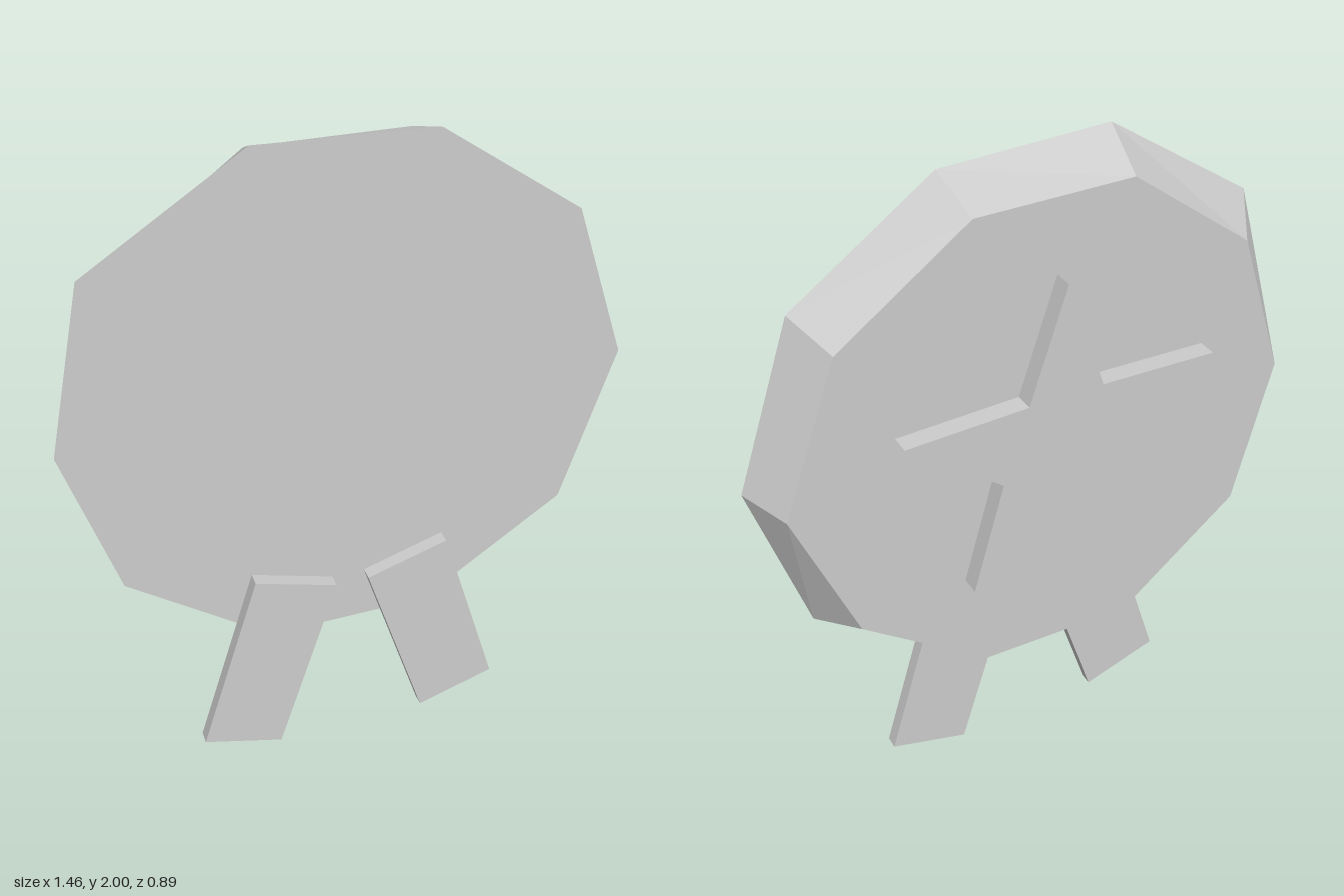
import * as THREE from 'three';

export function createModel() {
  const model = new THREE.Group();
  model.name = 'medal';
  const grey = new THREE.MeshStandardMaterial({ color: 0xcccccc });
  grey.name = 'light grey';
  grey.flatShading = true;

  // Everything is built facing +z, then the whole medal is turned about y
  const medal = new THREE.Group();
  medal.name = 'turnedMedal';
  medal.rotation.y = -0.4995;
  model.add(medal);

  const add = (name, geometry) => {
    const mesh = new THREE.Mesh(geometry, grey);
    mesh.name = name;
    medal.add(mesh);
  };

  // Flat outline extruded between two depths
  const plate = (name, points, zBack, zFront) => {
    const shape = new THREE.Shape(points.map(([x, y]) => new THREE.Vector2(x, y)));
    const geometry = new THREE.ExtrudeGeometry(shape, { depth: zFront - zBack, bevelEnabled: false });
    geometry.translate(0, 0, zBack);
    add(name, geometry);
  };

  // Ten-sided disc, wider at the front than at the back
  const front = [[0.826, 1.225], [0.65, 1.7], [0.24, 1.98], [-0.25, 2], [-0.69, 1.72],
    [-0.803, 1.225], [-0.666, 0.75], [-0.245, 0.43], [0.25, 0.43], [0.685, 0.73]];
  const back = [[0.766, 1.225], [0.6, 1.66], [0.228, 1.92], [-0.221, 1.925], [-0.587, 1.66],
    [-0.738, 1.225], [-0.628, 0.775], [-0.253, 0.475], [0.228, 0.495], [0.603, 0.79]];
  const n = front.length;
  const positions = [...front.flatMap(([x, y]) => [x, y, 0.053]),
    ...back.flatMap(([x, y]) => [x, y, -0.113])];
  const index = [];
  for (let i = 0; i < n; i++) {
    const j = (i + 1) % n;
    index.push(i, n + i, n + j, i, n + j, j);
    if (i > 0 && i < n - 1) index.push(0, i, i + 1, n, n + i + 1, n + i);
  }
  let disc = new THREE.BufferGeometry();
  disc.setAttribute('position', new THREE.Float32BufferAttribute(positions, 3));
  disc.setIndex(index);
  disc = disc.toNonIndexed();
  disc.computeVertexNormals();
  add('disc', disc);

  // Raised star on the back
  plate('star', [[0, 1.715], [-0.112, 1.388], [-0.463, 1.378], [-0.19, 1.165], [-0.287, 0.83],
    [0, 1.022], [0.287, 0.83], [0.19, 1.165], [0.463, 1.378], [0.112, 1.388]], -0.17, -0.112);

  // Two ribbon tails spreading downwards on the front
  const tail = [[0.05, 0.607], [0.298, 0.685], [0.484, 0.078], [0.239, 0]];
  for (const [name, side] of [['leftRibbon', 1], ['rightRibbon', -1]]) {
    plate(name, tail.map(([x, y]) => [side * x, y]), 0.053, 0.094);
  }
  return model;
}
